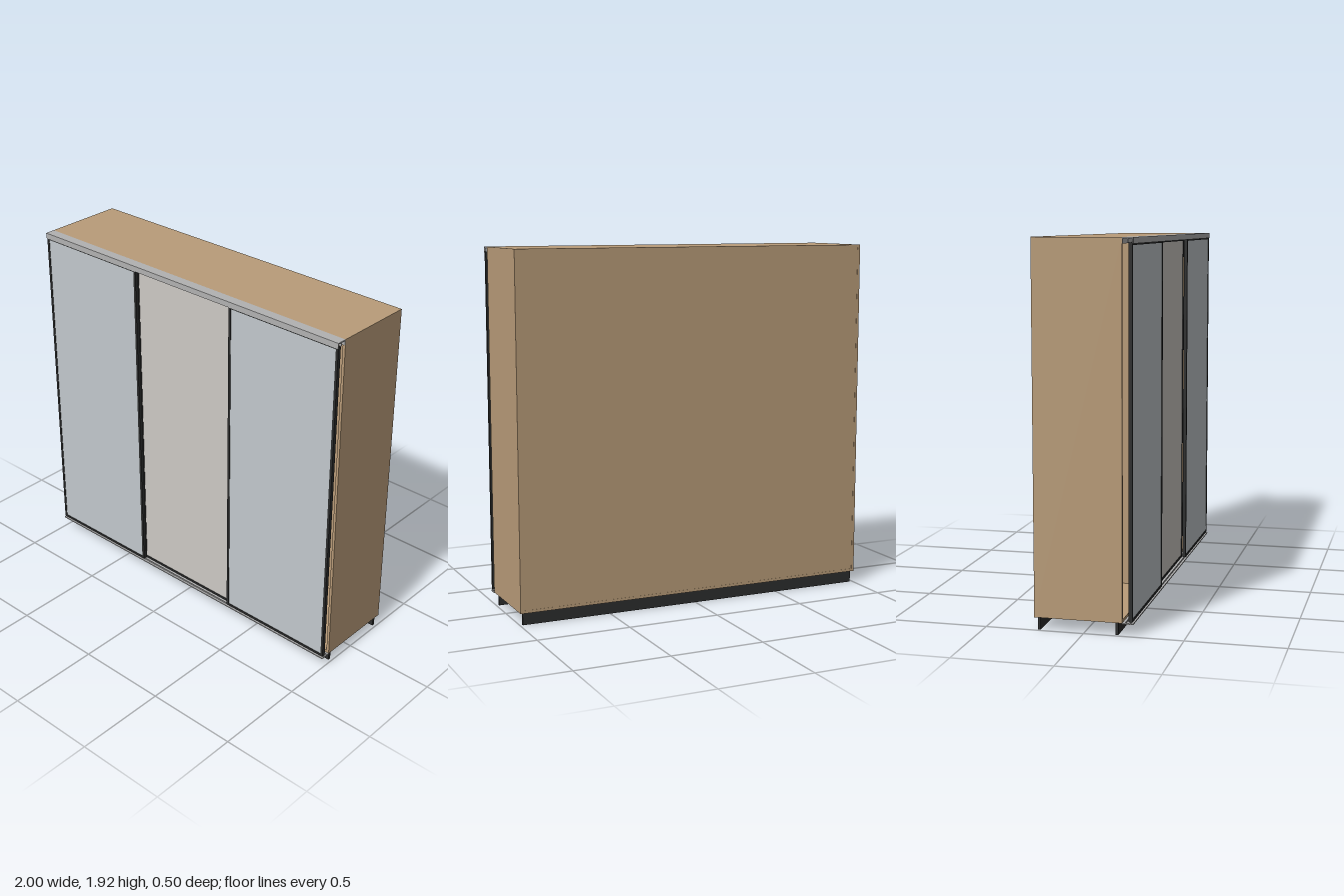
import * as THREE from 'three';

const mat = (color) => new THREE.MeshStandardMaterial({ color });
const wood = mat(0xb99c79), metal = mat(0xb2b2b2), dark = mat(0x2c2d2d);
const blueGlass = mat(0xc3c9cd), beigeGlass = mat(0xcecac5);

// Box given by its lower and upper limits on each axis
function slab(parent, name, material, [x0, x1], [y0, y1], [z0, z1]) {
  const mesh = new THREE.Mesh(new THREE.BoxGeometry(x1 - x0, y1 - y0, z1 - z0), material);
  mesh.position.set((x0 + x1) / 2, (y0 + y1) / 2, (z0 + z1) / 2);
  mesh.name = name;
  parent.add(mesh);
  return mesh;
}

// Sliding door: four dark frame bars around a slightly recessed panel
function slidingDoor(name, x0, x1, z0, z1, panelMaterial) {
  const door = new THREE.Group();
  door.name = name;
  const y0 = 0.073, y1 = 1.895, w = 0.014;
  slab(door, 'leftStile', dark, [x1 - w, x1], [y0, y1], [z0, z1]);
  slab(door, 'rightStile', dark, [x0, x0 + w], [y0, y1], [z0, z1]);
  slab(door, 'bottomBar', dark, [x0 + w, x1 - w], [y0, y0 + 0.012], [z0, z1]);
  slab(door, 'topBar', dark, [x0 + w, x1 - w], [y1 - 0.012, y1], [z0, z1]);
  slab(door, 'doorPanel', panelMaterial, [x0 + w, x1 - w], [y0 + 0.012, y1 - 0.012], [z0 + 0.003, z1 - 0.003]);
  return door;
}

export function createModel() {
  const wardrobe = new THREE.Group();
  wardrobe.name = 'wardrobe';

  // Carcass of thin boards, open towards the doors
  const carcass = new THREE.Group();
  carcass.name = 'carcass';
  wardrobe.add(carcass);
  const t = 0.015, bottom = 0.065, top = 1.92, back = -0.25, front = 0.195;
  slab(carcass, 'leftSide', wood, [1 - t, 1], [bottom, top], [back, front]);
  slab(carcass, 'rightSide', wood, [-1, -1 + t], [bottom, top], [back, front]);
  slab(carcass, 'topBoard', wood, [-1 + t, 1 - t], [top - t, top], [back, front]);
  slab(carcass, 'bottomBoard', wood, [-1 + t, 1 - t], [bottom, bottom + t], [back, front]);
  slab(carcass, 'backPanel', wood, [-1 + t, 1 - t], [bottom + t, top - t], [back + 0.001, back + 0.006]);
  for (const x of [-0.33, 0.33]) {
    slab(carcass, 'divider', wood, [x - t / 2, x + t / 2], [bottom + t, top - t], [back + 0.006, front - 0.01]);
  }

  // Plinth boards under the front and back
  for (const [name, z] of [['frontPlinth', 0.165], ['backPlinth', -0.229]]) {
    slab(wardrobe, name, dark, [-0.985, 0.985], [0, bottom], [z - 0.007, z + 0.007]);
  }

  // Top track: roof with a front lip and a back strip
  const topTrack = new THREE.Group();
  topTrack.name = 'topTrack';
  wardrobe.add(topTrack);
  slab(topTrack, 'trackRoof', metal, [-1, 1], [1.914, 1.92], [front, 0.25]);
  slab(topTrack, 'trackLip', metal, [-1, 1], [1.89, 1.914], [0.247, 0.25]);
  slab(topTrack, 'trackDivider', metal, [-1, 1], [1.895, 1.914], [0.2235, 0.2255]);
  slab(topTrack, 'trackBack', metal, [-1, 1], [1.89, 1.914], [front, 0.198]);

  // Bottom track: flat strip with low guide ribs
  const bottomTrack = new THREE.Group();
  bottomTrack.name = 'bottomTrack';
  wardrobe.add(bottomTrack);
  slab(bottomTrack, 'trackBase', metal, [-1, 1], [0.06, 0.066], [front, 0.25]);
  for (const z of [0.213, 0.236]) {
    slab(bottomTrack, 'guideRib', metal, [-1, 1], [0.066, 0.073], [z - 0.002, z + 0.002]);
  }

  // Outer doors run in the front track, the middle door behind them
  wardrobe.add(
    slidingDoor('rightDoor', -0.998, -0.322, 0.227, 0.246, blueGlass),
    slidingDoor('leftDoor', 0.322, 0.998, 0.227, 0.246, blueGlass),
    slidingDoor('middleDoor', -0.336, 0.336, 0.204, 0.223, beigeGlass),
  );
  return wardrobe;
}
